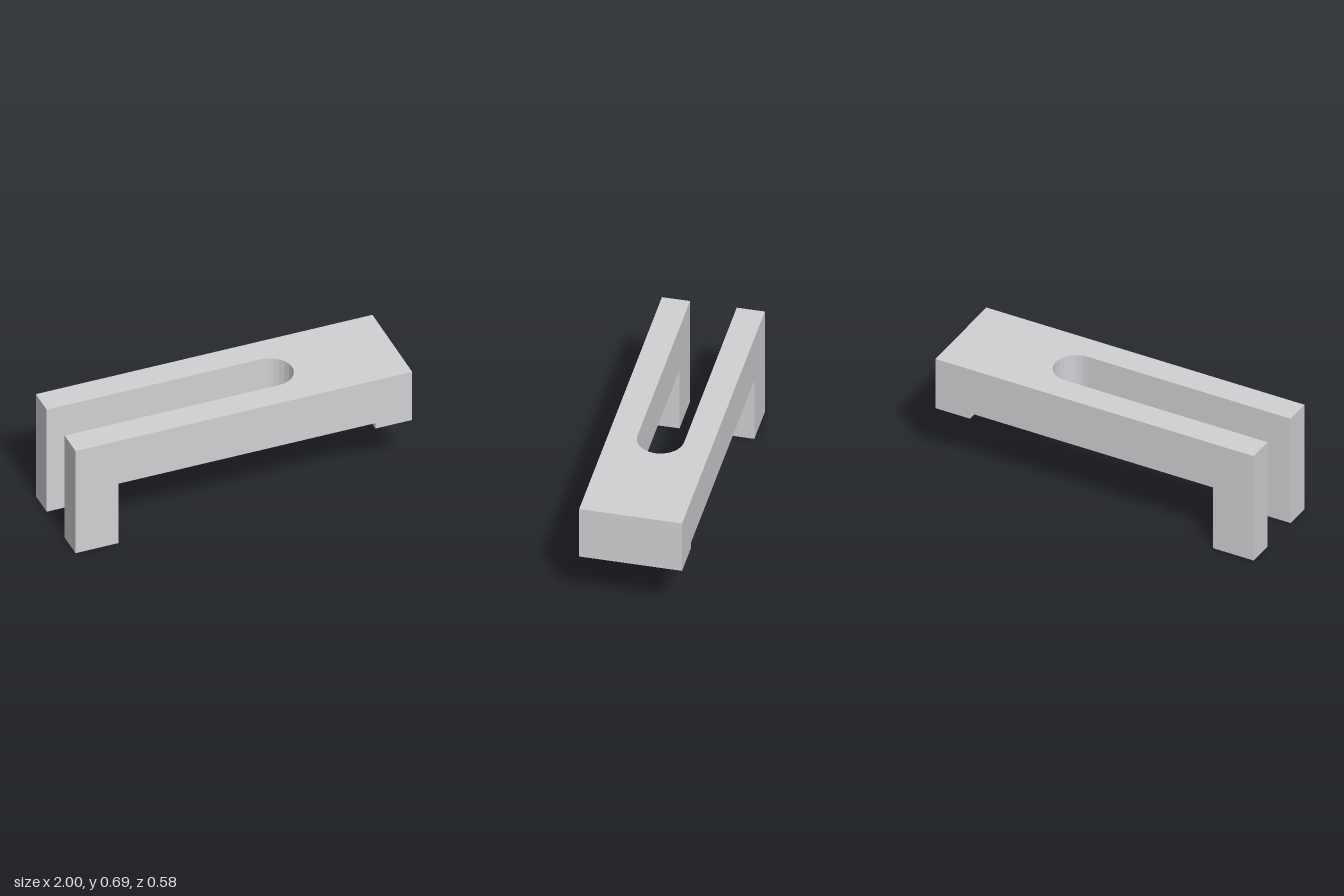
import * as THREE from 'three';

const HALF_DEPTH = 0.291, SLOT = 0.132, SLOT_END = 0.273;
const UNDER = 0.402, TOP = 0.691;

export function createModel() {
  const group = new THREE.Group();
  const steel = new THREE.MeshStandardMaterial({ color: 0xd1d1d5 });
  steel.name = 'light steel grey';

  const add = (name, geometry) => {
    const mesh = new THREE.Mesh(geometry, steel);
    mesh.name = name;
    group.add(mesh);
  };
  // Box given by its limits on each axis
  const block = (name, x0, x1, y0, y1, z0, z1) => add(name,
    new THREE.BoxGeometry(x1 - x0, y1 - y0, z1 - z0)
      .translate((x0 + x1) / 2, (y0 + y1) / 2, (z0 + z1) / 2));

  // Slotted bar: fork outline with a round slot end, extruded upward
  const outline = new THREE.Shape();
  outline.moveTo(-1, -HALF_DEPTH);
  outline.lineTo(1, -HALF_DEPTH);
  outline.lineTo(1, HALF_DEPTH);
  outline.lineTo(-1, HALF_DEPTH);
  outline.lineTo(-1, SLOT);
  outline.lineTo(SLOT_END, SLOT);
  outline.absarc(SLOT_END, 0, SLOT, Math.PI / 2, -Math.PI / 2, true);
  outline.lineTo(-1, -SLOT);
  outline.closePath();
  add('slottedBar', new THREE.ExtrudeGeometry(outline,
    { depth: TOP - UNDER, bevelEnabled: false, curveSegments: 6 })
    .rotateX(-Math.PI / 2).translate(0, UNDER, 0));

  // Legs under the two fork arms
  block('frontLeg', -1, -0.746, 0, UNDER, SLOT, HALF_DEPTH);
  block('backLeg', -1, -0.746, 0, UNDER, -HALF_DEPTH, -SLOT);

  // Clamping lip under the solid end
  block('clampingLip', 0.782, 1, 0.365, UNDER, -HALF_DEPTH, HALF_DEPTH);

  return group;
}
